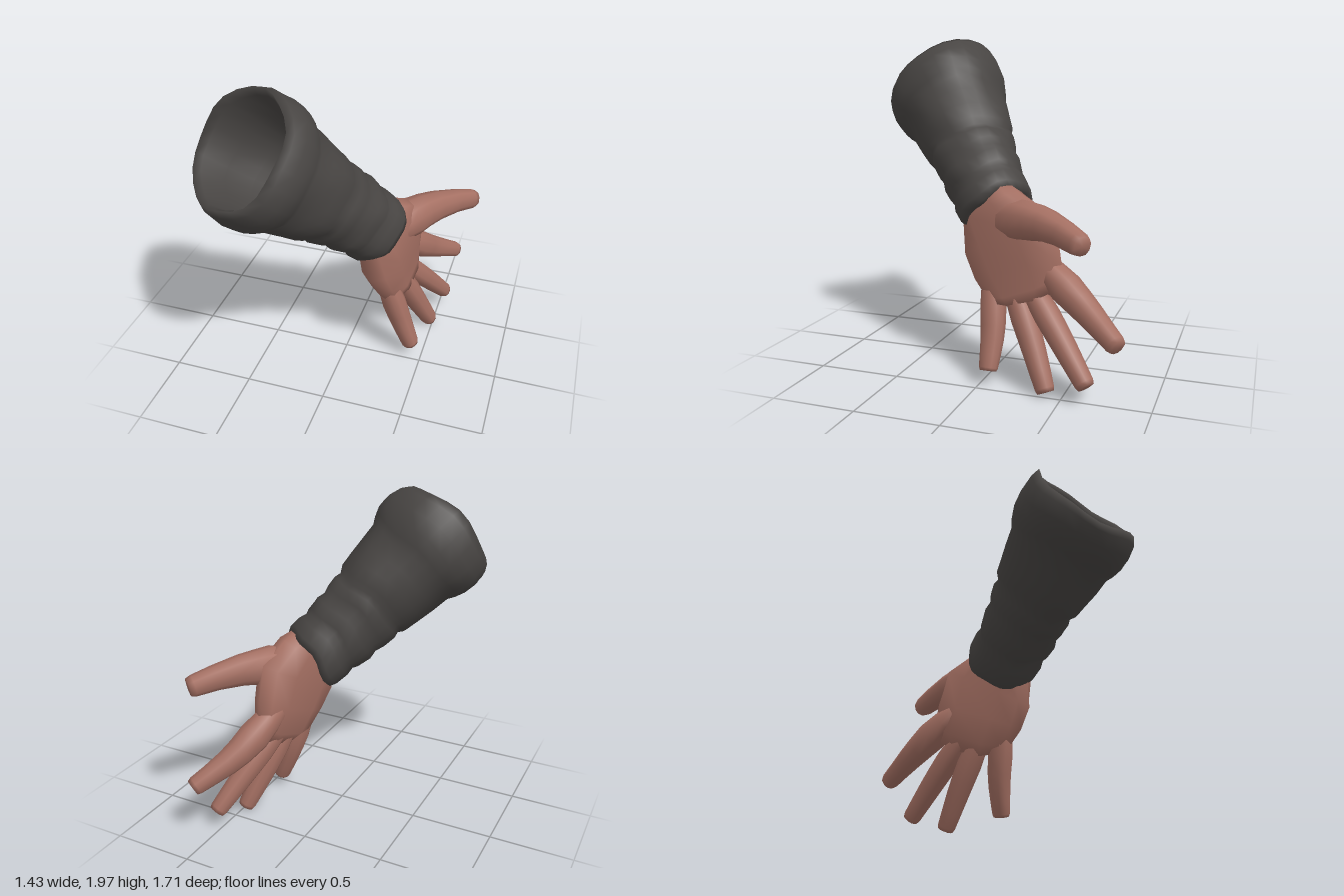
import * as THREE from 'three';
import { mergeVertices } from 'three/addons/utils/BufferGeometryUtils.js';

const V = (x, y, z) => new THREE.Vector3(x, y, z);
const SIDES = 10;

// Closed skin through rings of SIDES points each
function loft(rings) {
  const pos = [], idx = [];
  rings.forEach(r => r.forEach(p => pos.push(p.x, p.y, p.z)));
  for (let i = 0; i < rings.length - 1; i++) {
    for (let j = 0; j < SIDES; j++) {
      const a = i * SIDES + j, b = i * SIDES + (j + 1) % SIDES;
      idx.push(a, b, a + SIDES, b, b + SIDES, a + SIDES);
    }
  }
  // end caps
  [0, rings.length - 1].forEach((i, end) => {
    const c = rings[i].reduce((s, p) => s.add(p), V(0, 0, 0)).divideScalar(SIDES);
    const n = pos.length / 3;
    pos.push(c.x, c.y, c.z);
    for (let j = 0; j < SIDES; j++) {
      const a = i * SIDES + j, b = i * SIDES + (j + 1) % SIDES;
      if (end) idx.push(n, a, b); else idx.push(n, b, a);
    }
  });
  const g = new THREE.BufferGeometry();
  g.setAttribute('position', new THREE.Float32BufferAttribute(pos, 3));
  g.setIndex(idx);
  g.computeVertexNormals();
  return g;
}

// One rounded cross-section: half-width vector, half-thickness, end bulge
function ring(centre, tangent, width, thick, bow = 0, power = 0.85) {
  const depth = tangent.clone().cross(width).normalize().multiplyScalar(thick);
  const soft = v => Math.sign(v) * Math.abs(v) ** power;
  return Array.from({ length: SIDES }, (_, j) => {
    const a = j / SIDES * Math.PI * 2, c = soft(Math.cos(a)), s = soft(Math.sin(a));
    return centre.clone().addScaledVector(width, c).addScaledVector(depth, s)
      .addScaledVector(tangent, bow * (1 - c * c));
  });
}

// Tapered finger along a curve, with a blunt tip
function finger(points, radii) {
  const curve = new THREE.CatmullRomCurve3(points);
  const palmNormal = V(0.93, 0.05, 0.3).normalize();
  const steps = [0, 0.15, 0.3, 0.45, 0.6, 0.8, 0.96, 1];
  return loft(steps.map(t => {
    const tan = curve.getTangent(t);
    const k = t * (radii.length - 1), i = Math.min(Math.floor(k), radii.length - 2);
    const r = THREE.MathUtils.lerp(radii[i], radii[i + 1], k - i) * (t === 1 ? 0.88 : 1);
    const w = palmNormal.clone().cross(tan).normalize().multiplyScalar(r);
    return ring(curve.getPoint(t), tan, w, r);
  }));
}

export function createModel() {
  const skin = new THREE.MeshStandardMaterial({ color: 0xa57063 });
  skin.name = 'skin';
  const cloth = new THREE.MeshStandardMaterial({ color: 0x484543, side: THREE.DoubleSide });
  cloth.name = 'charcoal cloth';
  const model = new THREE.Group();
  const add = (name, geometry, material) => {
    const m = new THREE.Mesh(geometry, material);
    m.name = name;
    model.add(m);
    return m;
  };

  // Sleeve: [radius, distance from the opening], inner lining first
  const profile = [
    [0.195, 1.05], [0.21, 0.8], [0.25, 0.55], [0.285, 0.35], [0.305, 0.18], [0.32, 0.03],
    [0.345, -0.01], [0.368, 0.03], [0.38, 0.11], [0.372, 0.18], [0.347, 0.24],
    [0.322, 0.28], [0.31, 0.38], [0.295, 0.48], [0.28, 0.57], [0.252, 0.61],
    [0.262, 0.65], [0.252, 0.72], [0.235, 0.77], [0.246, 0.82], [0.232, 0.9],
    [0.218, 0.93], [0.23, 0.98], [0.225, 1.06], [0.207, 1.1], [0.165, 1.09],
  ].map(p => new THREE.Vector2(p[0], p[1]));
  const opening = V(-0.4, 1.69, 0.56), wrist = V(0.2, 0.95, -0.045);
  const turn = new THREE.Quaternion().setFromUnitVectors(
    V(0, 1, 0), wrist.clone().sub(opening).normalize());
  // Local angle round the sleeve of a direction in space
  const angleOf = direction => {
    const v = direction.applyQuaternion(turn.clone().invert());
    return Math.atan2(v.z, v.x);
  };
  // The hem rises on the far upper side, the cuff reaches further underneath
  const highAngle = angleOf(V(-0.2, 0.1, -0.23)), lowAngle = angleOf(V(-0.7, -0.7, 0));
  const toward = (a, b) => Math.max(0, Math.cos(a - b)) ** 2;
  let sleeve = new THREE.LatheGeometry(profile, 24);
  sleeve.deleteAttribute('uv');
  sleeve.deleteAttribute('normal');
  sleeve = mergeVertices(sleeve, 1e-4);
  const p = sleeve.attributes.position;
  // Slanting folds and an uneven hem
  for (let i = 0; i < p.count; i++) {
    const x = p.getX(i), y = p.getY(i), z = p.getZ(i), a = Math.atan2(z, x);
    const k = 1 + 0.018 * Math.sin(3 * a + 8 * y) + 0.014 * Math.sin(5 * a - 13 * y);
    const lift = 0.09 * toward(a, highAngle) * Math.max(0, 1 - y / 0.3);
    const drop = 0.05 * toward(a, lowAngle) * Math.max(0, y - 0.6) * 2;
    const wave = 0.015 * Math.sin(2 * a + 5 * y) + 0.01 * Math.sin(5 * a);
    p.setXYZ(i, x * k, y - lift + drop + wave, z * k);
  }
  sleeve.computeVertexNormals();
  const sleeveMesh = add('sleeve', sleeve, cloth);
  sleeveMesh.position.copy(opening);
  sleeveMesh.quaternion.copy(turn);

  // Palm: little-finger edge, thumb edge, half-thickness, bulge
  const sections = [
    [V(0.1, 1.0, 0.14), V(0.22, 1.16, -0.09), 0.1, 0],
    [V(0.17, 0.86, 0.155), V(0.29, 1.11, -0.19), 0.125, 0],
    [V(0.2, 0.7, 0.16), V(0.325, 1.01, -0.38), 0.125, 0],
    [V(0.24, 0.57, 0.1), V(0.325, 0.8, -0.44), 0.105, 0.01],
    [V(0.27, 0.47, 0.02), V(0.325, 0.66, -0.46), 0.083, 0.04],
    [V(0.3, 0.45, -0.03), V(0.34, 0.57, -0.43), 0.06, 0.05],
  ];
  const centres = sections.map(s => s[0].clone().add(s[1]).multiplyScalar(0.5));
  add('palm', loft(sections.map(([a, b, thick, bow], i) => {
    const tan = centres[Math.min(i + 1, 5)].clone().sub(centres[Math.max(i - 1, 0)]).normalize();
    return ring(centres[i], tan, a.clone().sub(b).multiplyScalar(0.5), thick, bow, 0.75);
  })), skin);

  // Fingers: root, middle and tip
  const slim = [0.055, 0.074, 0.068, 0.06, 0.051];
  add('thumb', finger([V(0.26, 0.94, -0.06), V(0.36, 0.965, -0.25), V(0.5, 0.965, -0.44),
    V(0.67, 0.915, -0.65)], [0.08, 0.12, 0.1, 0.077, 0.06]), skin);
  add('indexFinger', finger([V(0.27, 0.73, -0.3), V(0.4, 0.51, -0.6), V(0.56, 0.365, -0.82)],
    [0.06, 0.095, 0.079, 0.064, 0.053]), skin);
  add('middleFinger', finger([V(0.28, 0.61, -0.23), V(0.42, 0.33, -0.47), V(0.53, 0.11, -0.65)],
    slim), skin);
  add('ringFinger', finger([V(0.28, 0.6, -0.14), V(0.39, 0.27, -0.3), V(0.48, 0.025, -0.41)],
    slim), skin);
  add('littleFinger', finger([V(0.25, 0.61, -0.015), V(0.345, 0.3, -0.05), V(0.43, 0.085, -0.05)],
    slim), skin);
  return model;
}
